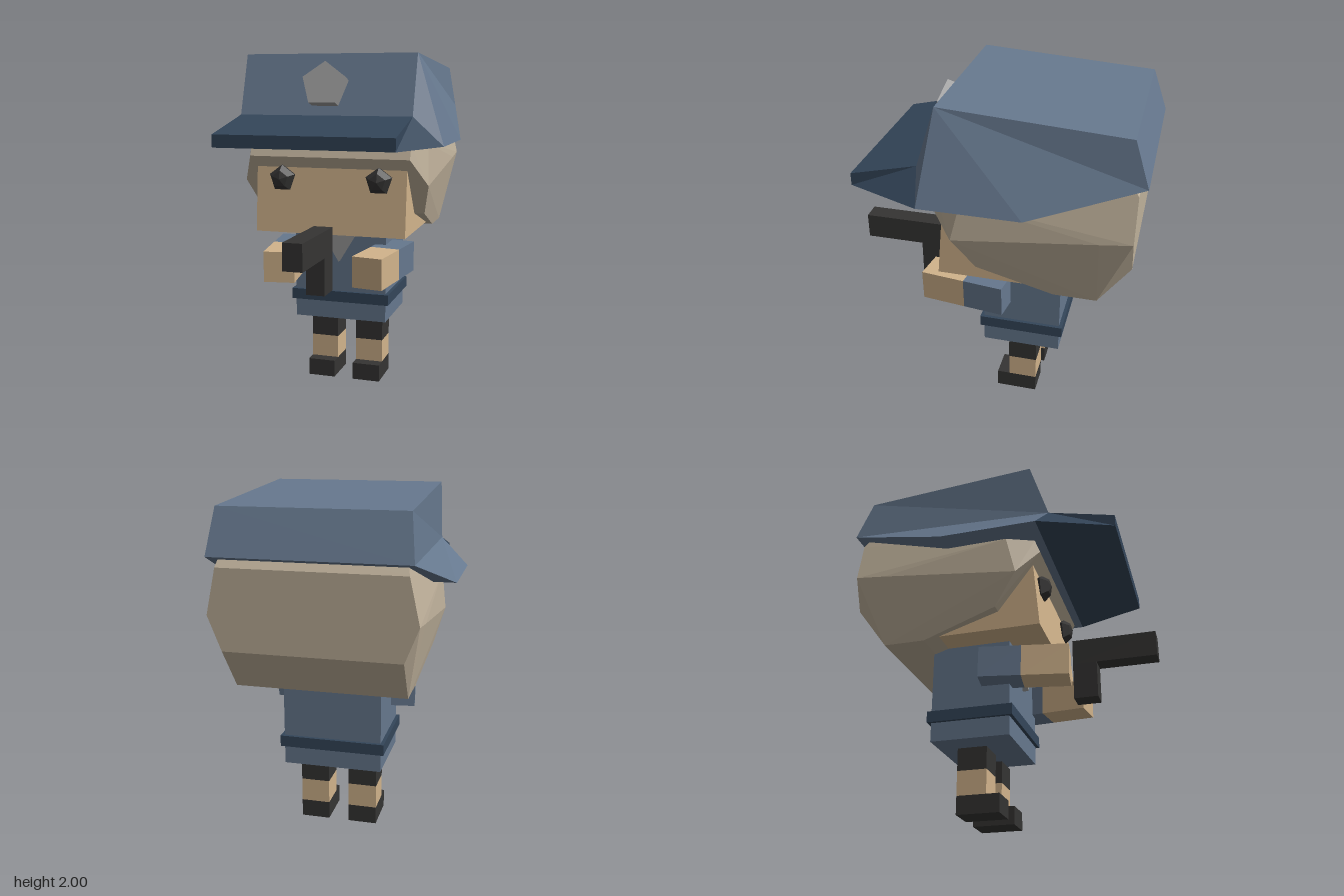
import * as THREE from 'three';
import { ConvexGeometry } from 'three/addons/geometries/ConvexGeometry.js';

const mat = (color) => new THREE.MeshStandardMaterial({ color, flatShading: true });
const cloth = mat(0x66788e), trim = mat(0x34465a), skin = mat(0xd2b48c);
const hairMat = mat(0xbfb19b), black = mat(0x353433), silver = mat(0x9c9c9c);

function add(parent, name, geometry, material) {
  const mesh = new THREE.Mesh(geometry, material);
  mesh.name = name;
  parent.add(mesh);
  return mesh;
}

// Box given by its limits on each axis
function box(parent, name, material, [x0, x1], [y0, y1], [z0, z1]) {
  const mesh = add(parent, name, new THREE.BoxGeometry(x1 - x0, y1 - y0, z1 - z0), material);
  mesh.position.set((x0 + x1) / 2, (y0 + y1) / 2, (z0 + z1) / 2);
  return mesh;
}

// Closed solid spanning from a side outline [z, y, halfWidth] to its mirror image.
// The outline runs counter-clockwise seen from +x; the starts choose where each side's fan begins.
function span(outline, leftStart = 0, rightStart = 0) {
  const n = outline.length, pos = [];
  const put = (i, side) => {
    const [z, y, x] = outline[i % n];
    pos.push(x * side, y, z);
  };
  for (let i = 0; i < n; i++) {
    const j = i + 1;
    put(j, 1); put(i, 1); put(i, -1);
    put(j, 1); put(i, -1); put(j, -1);
  }
  for (let k = 1; k < n - 1; k++) {
    put(leftStart, 1); put(leftStart + k, 1); put(leftStart + k + 1, 1);
    put(rightStart, -1); put(rightStart + k + 1, -1); put(rightStart + k, -1);
  }
  const g = new THREE.BufferGeometry();
  g.setAttribute('position', new THREE.Float32BufferAttribute(pos, 3));
  g.computeVertexNormals();
  return g;
}

export function createModel() {
  const model = new THREE.Group();
  model.name = 'officerFigure';

  // Legs: shoe, bare shin and shorts
  for (const [side, s] of [['left', 1], ['right', -1]]) {
    const leg = new THREE.Group();
    leg.name = side + 'Leg';
    const x = s > 0 ? [0.06, 0.23] : [-0.23, -0.06];
    box(leg, 'shoe', black, x, [0, 0.105], [-0.265, -0.02]);
    box(leg, 'shin', skin, x, [0.105, 0.245], [-0.265, -0.095]);
    box(leg, 'shorts', black, x, [0.245, 0.375], [-0.265, -0.095]);
    model.add(leg);

    // Arm reaching forward and slightly inward
    const arm = new THREE.Group();
    arm.name = side + 'Arm';
    box(arm, 'sleeve', cloth, [-0.09, 0.09], [-0.09, 0.09], [-0.255, -0.015]);
    box(arm, 'forearm', skin, [-0.09, 0.09], [-0.09, 0.09], [-0.015, 0.25]);
    arm.position.set(s * 0.298, 0.797, 0.147);
    arm.rotation.set(0.02, -s * 0.145, 0);
    model.add(arm);
  }

  // Torso, belt and collar
  box(model, 'torso', cloth, [-0.285, 0.285], [0.41, 0.98], [-0.41, 0.05]);
  box(model, 'belt', trim, [-0.305, 0.305], [0.52, 0.585], [-0.43, 0.07]);
  const vee = new THREE.Shape([[-0.112, 0.96], [0, 0.775], [0.112, 0.96]].map(([x, y]) => new THREE.Vector2(x, y)));
  const collar = add(model, 'collar', new THREE.ExtrudeGeometry(vee, { depth: 0.05, bevelEnabled: false }), silver);
  collar.position.z = 0.035;

  // Pistol
  const pistol = new THREE.Group();
  pistol.name = 'pistol';
  box(pistol, 'barrel', black, [-0.055, 0.055], [0.89, 1.04], [0.37, 0.86]);
  box(pistol, 'grip', black, [-0.055, 0.055], [0.675, 0.89], [0.37, 0.51]);
  model.add(pistol);

  // Head
  const head = new THREE.Group();
  head.name = 'head';
  model.add(head);
  add(head, 'face', span([[0.225, 1.48, 0.45], [0.27, 0.975, 0.45], [-0.5, 0.975, 0.45], [-0.5, 1.48, 0.45]]), skin);

  // Hair: faceted block with a ridge along each side
  const half = [
    [0.285, 1.42, 0.475], [0.16, 1.265, 0.557], [0.03, 1.085, 0.51], [0.03, 1.085, 0.47],
    [-0.4, 0.95, 0.475], [-0.64, 0.95, 0.475], [-0.64, 1.36, 0.558], [-0.815, 1.19, 0.48],
    [-0.815, 1.38, 0.555], [-0.815, 1.63, 0.5], [-0.7, 1.8, 0.46], [0.15, 1.75, 0.45], [0.255, 1.5, 0.475],
    [0.1, 1.5, 0.54],
  ];
  const hairPoints = half.flatMap(([z, y, x]) => [new THREE.Vector3(x, y, z), new THREE.Vector3(-x, y, z)]);
  add(head, 'hair', new ConvexGeometry(hairPoints), hairMat);

  // Eyes: five-sided domes
  for (const s of [1, -1]) {
    const dome = [[0.08, -0.03], [0.08, 0.01], [0.05, 0.05], [0, 0.065]].map(([r, h]) => new THREE.Vector2(r, h));
    const g = new THREE.LatheGeometry(dome, 5).rotateY(Math.PI).rotateX(Math.PI / 2);
    add(head, s > 0 ? 'leftEye' : 'rightEye', g, black).position.set(s * 0.29, 1.29, 0.243);
  }

  // Cap: crown, brim and badge
  const cap = new THREE.Group();
  cap.name = 'cap';
  model.add(cap);
  add(cap, 'crown', span([
    [0.235, 2, 0.5], [0.345, 1.66, 0.5], [0.305, 1.5, 0.665],
    [-0.26, 1.5, 0.665], [-0.86, 1.69, 0.53], [-0.775, 1.935, 0.5],
  ], 0, 1), cloth);
  add(cap, 'brim', span([
    [0.345, 1.66, 0.5], [0.725, 1.57, 0.5], [0.725, 1.5, 0.5], [0.305, 1.5, 0.665],
  ]), trim);
  const tilt = -0.31;
  const plate = new THREE.CylinderGeometry(0.13, 0.13, 0.1, 5).rotateY(Math.PI).rotateX(Math.PI / 2 + tilt);
  add(cap, 'badge', plate, silver).position.set(0, 1.818, 0.312);

  return model;
}
